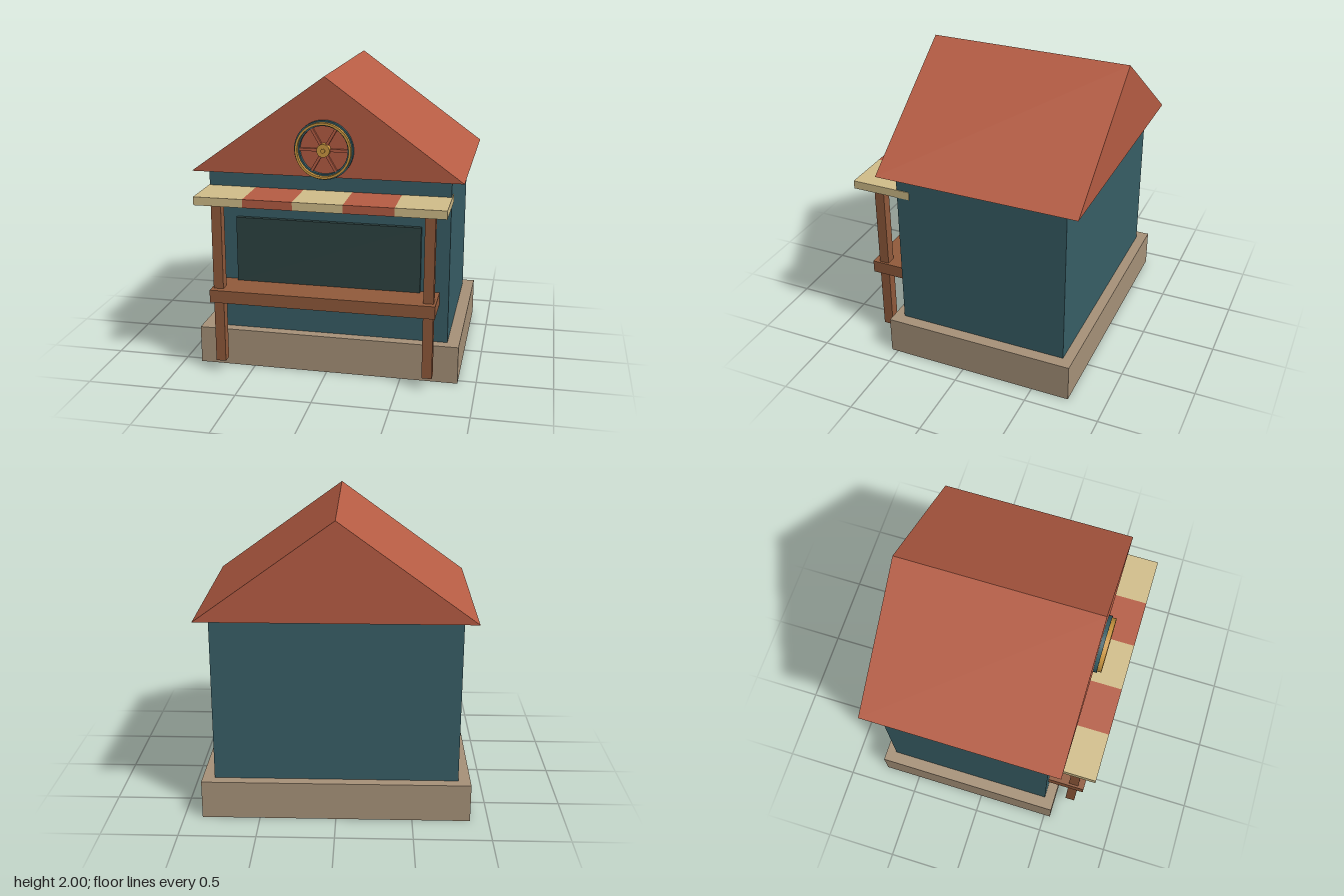
import * as THREE from 'three';

const mat = (name, color) => {
  const m = new THREE.MeshStandardMaterial({ color });
  m.name = name;
  return m;
};

export function createModel() {
  const stone = mat('stone', 0xa8937a);
  const teal = mat('teal', 0x385f67);
  const red = mat('terracotta', 0xb75d44);
  const wood = mat('wood', 0x925b3c);
  const cream = mat('cream', 0xd3bf8b);
  const dark = mat('darkGlass', 0x2e4443);
  const gold = mat('gold', 0xcf9a42);

  const model = new THREE.Group();
  model.name = 'marketStall';

  const add = (name, geometry, material, parent = model) => {
    const mesh = new THREE.Mesh(geometry, material);
    mesh.name = name;
    parent.add(mesh);
    return mesh;
  };
  // Box given by its lower and upper limits on each axis
  const box = (name, material, [x0, x1], [y0, y1], [z0, z1], parent) => {
    const mesh = add(name, new THREE.BoxGeometry(x1 - x0, y1 - y0, z1 - z0), material, parent);
    mesh.position.set((x0 + x1) / 2, (y0 + y1) / 2, (z0 + z1) / 2);
    return mesh;
  };

  // Building
  box('base', stone, [-0.88, 0.88], [0, 0.255], [-0.755, 0.545]);
  box('walls', teal, [-0.8, 0.8], [0.255, 1.36], [-0.685, 0.475]);

  // Gable roof, a solid triangular prism
  const gable = new THREE.Shape([
    new THREE.Vector2(-0.885, 1.36),
    new THREE.Vector2(0.885, 1.36),
    new THREE.Vector2(0, 2),
  ]);
  add('roof', new THREE.ExtrudeGeometry(gable, { depth: 1.36, bevelEnabled: false }), red).position.z = -0.785;

  // Serving side
  box('servingWindow', dark, [-0.615, 0.615], [0.6, 1.04], [0.47, 0.505]);
  box('counter', wood, [-0.74, 0.74], [0.515, 0.6], [0.47, 0.73]);
  for (const s of [-1, 1]) {
    box(s > 0 ? 'leftPost' : 'rightPost', wood,
      [s * 0.692 - 0.033, s * 0.692 + 0.033], [0.085, 1.19], [0.62, 0.687]);
  }

  // Striped awning
  const awning = new THREE.Group();
  awning.name = 'awning';
  model.add(awning);
  const stripe = 0.322;
  for (let i = 0; i < 5; i++) {
    const x = -0.805 + i * stripe;
    box('awningStripe', i % 2 ? red : cream, [x, x + stripe], [1.19, 1.245], [0.387, 0.788], awning);
  }

  // Wheel ornament on the front gable
  const wheel = new THREE.Group();
  wheel.name = 'wheelOrnament';
  wheel.position.set(0, 1.54, 0.575);
  model.add(wheel);

  // Flat ring with smooth round sides and sharp rims, turned to face the front
  const ring = (name, inner, outer, z0, z1, material) => {
    const loop = [[inner, z0], [outer, z0], [outer, z1], [inner, z1], [inner, z0]];
    const geo = new THREE.LatheGeometry(loop.map(([r, z]) => new THREE.Vector2(r, z)), 48).toNonIndexed();
    // Each face of the square section keeps its own radial or axial normal
    const p = geo.attributes.position, n = geo.attributes.normal;
    for (let i = 0; i < p.count; i += 3) {
      const ys = [0, 1, 2].map((k) => p.getY(i + k));
      const flat = Math.max(...ys) - Math.min(...ys) < 1e-5;
      for (let k = i; k < i + 3; k++) {
        const x = p.getX(k), y = p.getY(k), z = p.getZ(k), r = Math.hypot(x, z);
        const side = r > (inner + outer) / 2 ? 1 : -1;
        if (flat) n.setXYZ(k, 0, y > (z0 + z1) / 2 ? 1 : -1, 0);
        else n.setXYZ(k, side * x / r, 0, side * z / r);
      }
    }
    geo.rotateX(Math.PI / 2);
    return add(name, geo, material, wheel);
  };
  ring('outerRim', 0.155, 0.19, 0, 0.025, teal);
  ring('goldRim', 0.165, 0.18, 0.02, 0.053, gold);

  // Three bars across make six spokes
  for (let i = 0; i < 3; i++) {
    const spoke = add('spokes', new THREE.BoxGeometry(0.32, 0.018, 0.018), red, wheel);
    spoke.position.z = 0.015;
    spoke.rotation.z = i * Math.PI / 3;
  }
  const hub = (name, r, depth) => {
    const geo = new THREE.CylinderGeometry(r, r, depth, 24).rotateX(Math.PI / 2).translate(0, 0, depth / 2);
    add(name, geo, gold, wheel);
  };
  hub('hub', 0.042, 0.043);
  hub('hubCap', 0.014, 0.052);

  return model;
}
